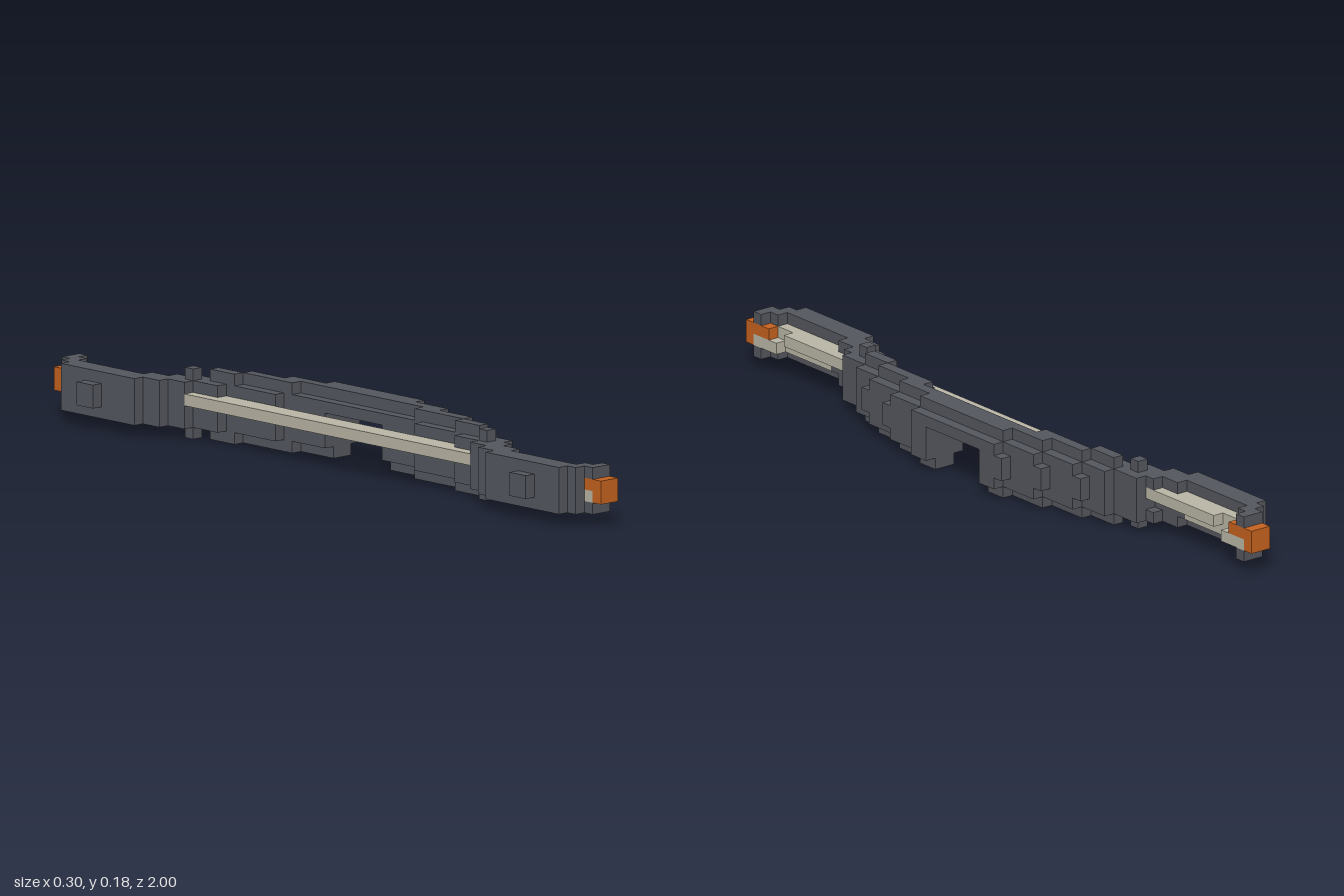
import * as THREE from 'three';

const U = 2 / 67; // one block

export function createModel() {
  const model = new THREE.Group();
  const make = (name, color) => {
    const m = new THREE.MeshStandardMaterial({ color });
    m.name = name;
    return m;
  };
  const gray = make('dark gray', 0x555860);
  const cream = make('cream', 0xbcb8a8);
  const orange = make('orange', 0xc8641f);

  // box given by its block limits
  function box(name, mat, x0, x1, y0, y1, z0, z1) {
    const mesh = new THREE.Mesh(
      new THREE.BoxGeometry((x1 - x0) * U, (y1 - y0) * U, (z1 - z0) * U), mat);
    mesh.position.set((x0 + x1) * U / 2, (y0 + y1) * U / 2, (z0 + z1) * U / 2);
    mesh.name = name;
    model.add(mesh);
  }
  // the same box at both ends of the bow
  function pair(name, mat, x0, x1, y0, y1, z0, z1) {
    box(name, mat, x0, x1, y0, y1, z0, z1);
    box(name, mat, x0, x1, y0, y1, -z1, -z0);
  }
  // the same box at both ends, above and below the middle height
  function quad(name, mat, x0, x1, y0, y1, z0, z1) {
    pair(name, mat, x0, x1, y0, y1, z0, z1);
    pair(name, mat, x0, x1, 6 - y1, 6 - y0, z0, z1);
  }

  // grip: bridge over the opening
  box('gripBridge', gray, 1, 4, 4, 5, -3.5, 3.5);
  box('gripBridgeTop', gray, 2, 4, 5, 6, -3.5, 3.5);
  box('gripFace', gray, 4, 5, 4, 5, -3.5, 3.5);
  box('gripCheek', gray, 4, 5, 1, 5, 3.5, 5.5);
  box('gripCheek', gray, 4, 5, 1, 5, -5.5, -3.5);
  box('gripCheekStep', gray, 4, 5, 2, 4, -6.5, -5.5);

  // curved body: [inner x, outer x, z start, z end]
  const body = [
    [1, 4, 3.5, 8.5], [0, 4, 8.5, 9.5], [0, 3, 9.5, 13.5],
    [0, 2, 13.5, 14.5], [-1, 2, 14.5, 16.5], [-1, 1, 16.5, 17.5], [-2, 1, 17.5, 19.5],
  ];
  for (const [x0, x1, z0, z1] of body) pair('body', gray, x0, x1, 1, 5, z0, z1);
  // outer layers reach one block further at mid height
  pair('bodyStep', gray, 3, 4, 2, 4, 9.5, 10.5);
  pair('bodyStep', gray, 2, 3, 2, 4, 13.5, 14.5);

  // narrow ridges on top and underneath
  const ridges = [
    [2, 4, 3.5, 5.5], [2, 3, 5.5, 7.5], [1, 3, 7.5, 9.5], [1, 2, 9.5, 13.5],
    [0, 1, 13.5, 16.5], [-1, 0, 17.5, 18.5],
  ];
  for (const [x0, x1, z0, z1] of ridges) quad('ridge', gray, x0, x1, 5, 6, z0, z1);

  // recurved limbs: outer wall with flanges above and below the string
  pair('limbWall', gray, -3, -2, 2, 4, 19.5, 31.5);
  pair('limbBack', gray, -4, -3, 1, 5, 21.5, 30.5);
  pair('limbNub', gray, -5, -4, 2, 4, 25.5, 27.5);
  pair('limbFill', gray, -2, -1, 2, 3, 19.5, 23.5);
  const flanges = [
    [-3, 0, 19.5, 20.5], [-3, -1, 20.5, 22.5], [-3, -2, 22.5, 30.5],
    [-3, -1, 30.5, 31.5], [-2, 0, 31.5, 32.5],
  ];
  for (const [x0, x1, z0, z1] of flanges) quad('limbFlange', gray, x0, x1, 4, 5, z0, z1);

  // string and inner limb strips
  box('string', cream, -2, 0, 3, 4, -17.5, 17.5);
  pair('stringEnd', cream, -2, 0, 3, 4, 19.5, 28.5);
  pair('stringTail', cream, -2, -1, 3, 4, 28.5, 30.5);
  pair('limbStrip', cream, -2, -1, 2, 3, 23.5, 32.5);
  pair('limbStripEnd', cream, -1, 0, 2, 3, 29.5, 32.5);

  // tips
  pair('tip', orange, -2, 0, 2, 4, 32.5, 33.5);
  pair('tipTongue', orange, -2, 0, 3, 4, 30.5, 32.5);

  return model;
}
